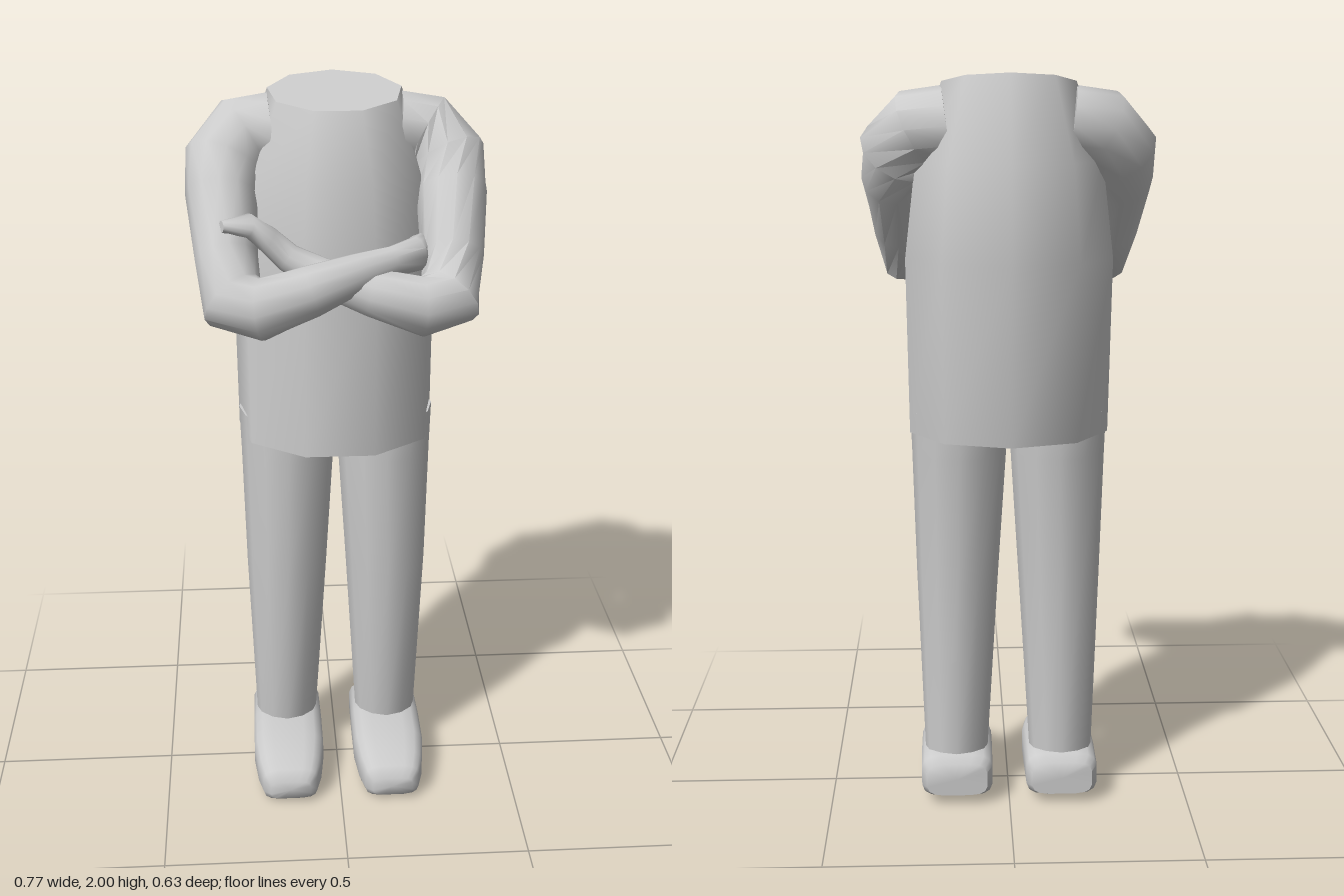
import * as THREE from 'three';
import { toCreasedNormals } from 'three/addons/utils/BufferGeometryUtils.js';

const material = new THREE.MeshStandardMaterial({ color: 0xcccccc });
const V = (x, y, z) => new THREE.Vector3(x, y, z);

// Skin a list of equal-sized rings and close both ends
function loft(name, rings, crease = 1.0) {
  const n = rings[0].length, last = (rings.length - 1) * n, index = [];
  const points = rings.flat();
  for (const ring of [rings[0], rings[rings.length - 1]]) {
    const c = V(0, 0, 0);
    ring.forEach((p) => c.addScaledVector(p, 1 / n));
    points.push(c);
  }
  for (let j = 0; j < n; j++) {
    const k = (j + 1) % n;
    for (let i = 0; i < last; i += n) {
      index.push(i + j, i + k, i + n + k, i + j, i + n + k, i + n + j);
    }
    index.push(last + n, k, j, last + n + 1, last + j, last + k);
  }
  const geometry = new THREE.BufferGeometry().setFromPoints(points);
  geometry.setIndex(index);
  const mesh = new THREE.Mesh(toCreasedNormals(geometry, crease), material);
  mesh.name = name;
  return mesh;
}

// Level oval ring, starting at the back; slope tips it toward the front
function levelRing(n, y, cx, rx, cz, rz, slope = 0) {
  return Array.from({ length: n }, (_, i) => {
    const a = (i / n) * Math.PI * 2, dz = -rz * Math.cos(a);
    return V(cx + rx * Math.sin(a), y - slope * dz, cz + dz);
  });
}

// Oval rings square to a path; each station is [x, y, z, horizontal radius, other radius]
function limbRings(stations, n = 12) {
  const p = stations.map((s) => V(s[0], s[1], s[2]));
  const dir = (a, b) => b.clone().sub(a).normalize();
  return p.map((c, i) => {
    const t = V(0, 0, 0);
    if (i > 0) t.add(dir(p[i - 1], c));
    if (i < p.length - 1) t.add(dir(c, p[i + 1]));
    t.normalize();
    const u = V(0, 1, 0).cross(t).normalize();
    const v = t.clone().cross(u);
    return Array.from({ length: n }, (_, j) => {
      const a = (j / n) * Math.PI * 2;
      return c.clone()
        .addScaledVector(u, Math.cos(a) * stations[i][3])
        .addScaledVector(v, Math.sin(a) * stations[i][4]);
    });
  });
}

// Rounded box section of a foot
function footRing(cx, z, halfWidth, low, high, n = 16) {
  const soft = (s) => Math.sign(s) * Math.sqrt(Math.abs(s));
  return Array.from({ length: n }, (_, i) => {
    const a = ((i + 0.5) / n) * Math.PI * 2;
    return V(cx + halfWidth * soft(Math.cos(a)),
      (low + high) / 2 + ((high - low) / 2) * soft(Math.sin(a)), z);
  });
}

// Shoulder to elbow, shared by both arms
const upperArm = (side) => [
  [0.16, 1.87, -0.09, 0.112, 0.1],
  [0.235, 1.86, -0.09, 0.112, 0.105],
  [0.285, 1.8, -0.05, 0.105, 0.11],
  [0.295, 1.73, 0.01, 0.092, 0.1],
  [0.285, 1.6, 0.13, 0.08, 0.092],
  [0.272, 1.515, 0.205, 0.085, 0.09],
].map(([x, ...rest]) => [side * x, ...rest]);

export function createModel() {
  const model = new THREE.Group();

  // Torso: nine-sided, neck cut sloping to the front
  model.add(loft('torso', [
    levelRing(9, 1.975, 0, 0.175, -0.075, 0.145, 0.175),
    levelRing(9, 1.78, 0, 0.245, -0.082, 0.217),
    levelRing(9, 1.53, 0, 0.275, -0.082, 0.232),
    levelRing(9, 1.06, 0, 0.27, -0.051, 0.229),
  ]));

  // Legs and feet
  for (const [side, label] of [[1, 'left'], [-1, 'right']]) {
    model.add(loft(label + 'Leg', [
      levelRing(12, 1.12, side * 0.135, 0.131, -0.055, 0.137),
      levelRing(12, 1.0, side * 0.134, 0.128, -0.052, 0.131),
      levelRing(12, 0.65, side * 0.141, 0.113, -0.037, 0.114),
      levelRing(12, 0.12, side * 0.148, 0.088, -0.058, 0.087),
    ]));
    model.add(loft(label + 'Foot', [
      [-0.175, 0.085, 0.03, 0.125],
      [-0.15, 0.1, 0.018, 0.142],
      [-0.02, 0.102, 0.012, 0.146],
      [0.1, 0.102, 0.004, 0.135],
      [0.18, 0.092, 0, 0.12],
      [0.23, 0.078, 0.002, 0.103],
      [0.252, 0.058, 0.02, 0.075],
    ].map(([z, ...rest]) => footRing(side * 0.147, z, ...rest))));
  }

  // Right arm: forearm crosses in front, hand rests on the other arm
  model.add(loft('rightArm', limbRings([
    ...upperArm(-1),
    [-0.2, 1.502, 0.243, 0.068, 0.08],
    [-0.08, 1.55, 0.253, 0.062, 0.066],
    [0.04, 1.583, 0.215, 0.045, 0.05],
    [0.13, 1.602, 0.185, 0.03, 0.04],
    [0.19, 1.612, 0.16, 0.035, 0.045],
    [0.205, 1.612, 0.12, 0.03, 0.042],
    [0.19, 1.61, 0.08, 0.015, 0.025],
  ])));

  // Left arm: forearm tucks behind, hand comes up over the other arm
  model.add(loft('leftArm', limbRings([
    ...upperArm(1),
    [0.2, 1.5, 0.238, 0.066, 0.078],
    [0.08, 1.53, 0.212, 0.06, 0.062],
    [-0.05, 1.565, 0.175, 0.042, 0.047],
    [-0.13, 1.605, 0.15, 0.04, 0.036],
    [-0.18, 1.65, 0.14, 0.055, 0.032],
    [-0.23, 1.69, 0.15, 0.045, 0.03],
    [-0.295, 1.695, 0.175, 0.016, 0.015],
  ])));

  // Thumb of the left hand
  model.add(loft('leftThumb', limbRings([
    [-0.14, 1.625, 0.13, 0.02, 0.02],
    [-0.17, 1.64, 0.095, 0.02, 0.02],
    [-0.19, 1.66, 0.075, 0.01, 0.01],
  ], 8)));

  return model;
}
